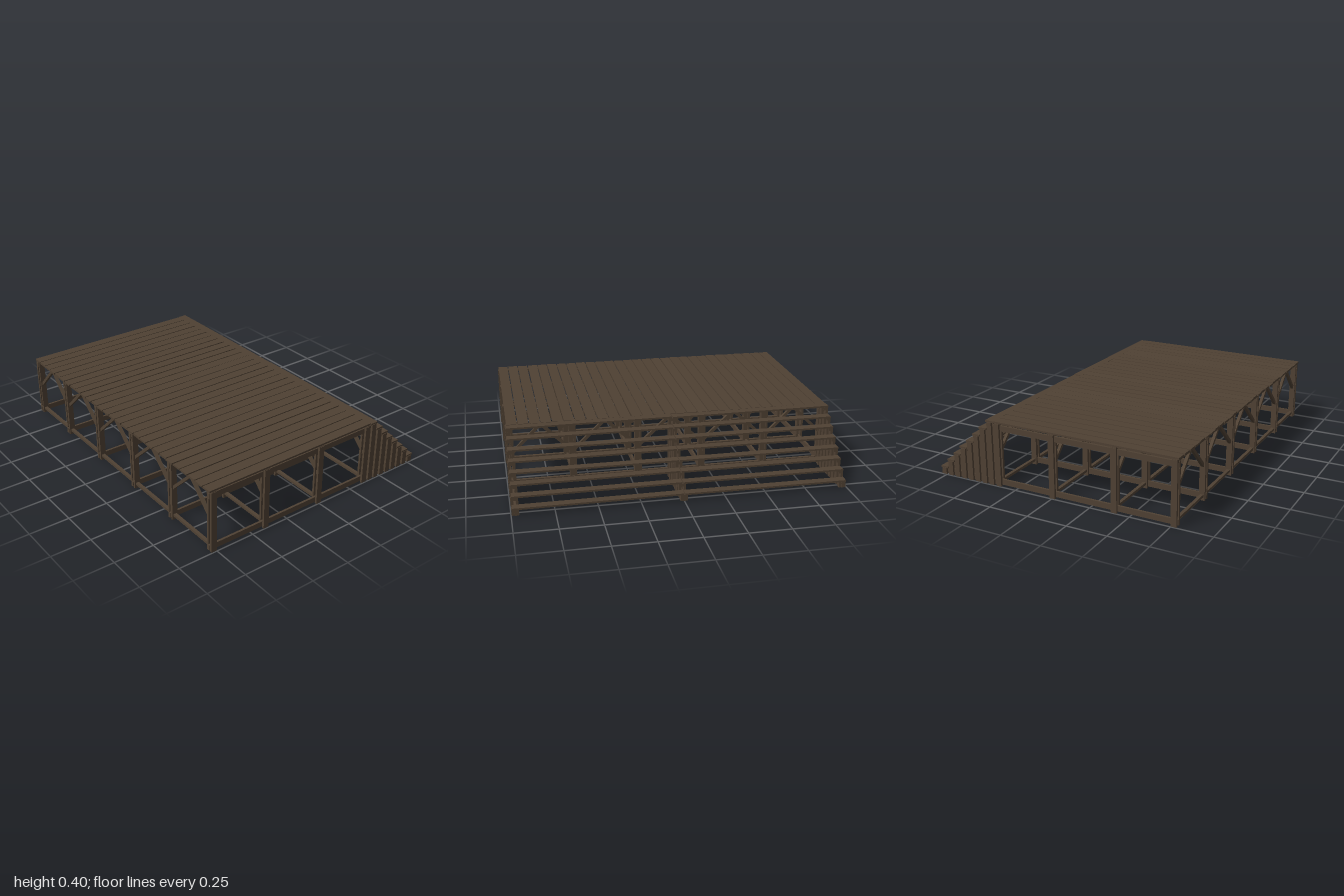
import * as THREE from 'three';

const wood = new THREE.MeshStandardMaterial({ color: 0x4f4133 });
wood.name = 'dark wood';

// Small seeded generator, giving values from -1 to 1
function makeJitter(seed) {
  let s = seed;
  return () => {
    s = (s * 16807) % 2147483647;
    return (s / 2147483647) * 2 - 1;
  };
}

// Box given by its lower and upper limits on each axis
function beam(parent, name, [x0, x1], [y0, y1], [z0, z1]) {
  const mesh = new THREE.Mesh(new THREE.BoxGeometry(x1 - x0, y1 - y0, z1 - z0), wood);
  mesh.position.set((x0 + x1) / 2, (y0 + y1) / 2, (z0 + z1) / 2);
  mesh.name = name;
  parent.add(mesh);
  return mesh;
}

const around = (c, size) => [c - size / 2, c + size / 2];

function group(parent, name) {
  const g = new THREE.Group();
  g.name = name;
  parent.add(g);
  return g;
}

export function createModel() {
  const model = new THREE.Group();
  model.name = 'woodenStage';
  const jitter = makeJitter(4217);

  const columns = [-0.975, -0.6, -0.2, 0.2, 0.6, 0.975];
  const rows = [0.765, 0.4, 0, -0.37];

  // Posts: two planks gripping the long beams, with a core on inner columns
  const frame = group(model, 'frame');
  columns.forEach((x, i) => {
    const inner = i > 0 && i < columns.length - 1;
    for (const z of rows) {
      for (const side of [-1, 1])
        beam(frame, 'postPlank', around(x + side * 0.014, 0.014), [0, 0.386], around(z, 0.036));
      if (inner) beam(frame, 'postCore', around(x, 0.014), [0.04, 0.345], around(z, 0.026));
    }
    // Beams running front to back
    beam(frame, 'lowerLongBeam', around(x, 0.014), [0.008, 0.042], [-0.388, 0.787]);
    beam(frame, 'upperLongBeam', around(x, 0.014), [0.344, 0.378], [-0.388, 0.787]);
  });

  // Beams running across, at ground level and under the deck
  for (const z of rows) {
    beam(frame, 'lowerCrossBeam', [-0.985, 0.985], [0.022, 0.038], around(z, 0.02));
    beam(frame, 'upperCrossBeam', [-0.993, 0.993], [0.378, 0.39], around(z, 0.034));
  }

  // Diagonal braces rising from both posts to the middle of each bay
  const braces = group(model, 'braces');
  for (const z of rows) {
    for (let i = 0; i < columns.length - 1; i++) {
      const mid = (columns[i] + columns[i + 1]) / 2;
      for (const x of [columns[i], columns[i + 1]]) {
        const dx = mid - x, dy = 0.185;
        const brace = new THREE.Mesh(
          new THREE.BoxGeometry(Math.hypot(dx, dy), 0.018, 0.018), wood);
        brace.position.set((x + mid) / 2, 0.2 + dy / 2, z);
        brace.rotation.z = Math.atan2(dy, dx);
        brace.name = 'brace';
        braces.add(brace);
      }
    }
  }

  // Deck planks, slightly uneven
  const deck = group(model, 'deck');
  const count = 29, pitch = 1.985 / count;
  for (let i = 0; i < count; i++) {
    const x = -0.9925 + pitch * (i + 0.5);
    const shift = jitter() * 0.004;
    const plank = beam(deck, 'deckPlank', around(x, 0.062), [0.39, 0.401],
      [-0.394 + shift, 0.792 + shift]);
    plank.rotation.y = jitter() * 0.003;
    plank.rotation.z = jitter() * 0.03;
  }

  // Rear steps: carriers of paired uprights, then the treads
  const steps = group(model, 'rearSteps');
  const stepCount = 8, rise = 0.05;
  for (const x of [-0.975, 0, 0.975]) {
    const carrier = group(steps, 'stepCarrier');
    beam(carrier, 'carrierBase', around(x, 0.014), [0, 0.036], [-0.79, -0.4]);
    for (let i = 0; i < stepCount; i++) {
      const top = 0.4 - rise * i - 0.011;
      const z = -0.42 - rise * i;
      for (const side of [-1, 1])
        beam(carrier, 'stepUpright', around(x + side * 0.014, 0.014), [0, top], around(z, 0.032));
      beam(carrier, 'treadSupport', around(x, 0.014), [top - 0.018, top], [z - 0.022, z + 0.022]);
    }
  }
  for (let i = 0; i < stepCount; i++) {
    const y = 0.4 - rise * i;
    const z = -0.42 - rise * i;
    for (const side of [-1, 1]) {
      const tread = beam(steps, 'tread', around(side * 0.498, 0.99), [y - 0.011, y],
        around(z, 0.052));
      tread.rotation.z = jitter() * 0.004;
      tread.rotation.y = jitter() * 0.003;
    }
  }

  return model;
}
